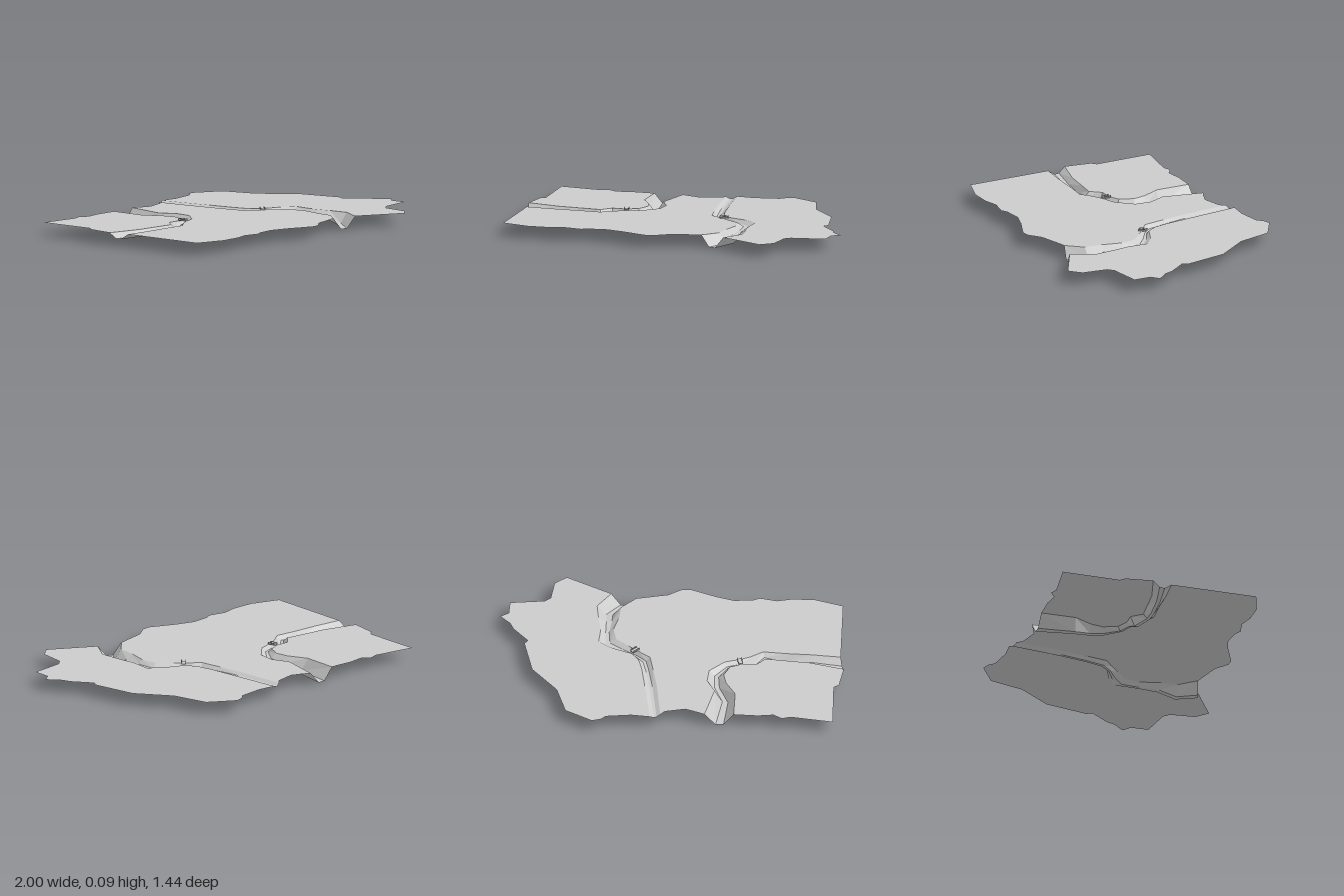
import * as THREE from 'three';

const LEVEL = 0.072; // height of the flat land
const material = new THREE.MeshStandardMaterial({ color: 0xcccccc, flatShading: true, side: THREE.DoubleSide });

// River stations: first bank x, z, second bank x, z, height of the bed
const westRiver = [
  [-1, -0.18, -0.98, -0.06, 0.04], [-0.8, -0.12, -0.81, -0.04, 0.04],
  [-0.65, -0.1, -0.66, -0.03, 0.03], [-0.545, -0.085, -0.53, -0.015, 0.05],
  [-0.49, -0.145, -0.46, -0.065, 0.02], [-0.41, -0.14, -0.395, -0.095, 0.05],
  [-0.34, -0.17, -0.31, -0.12, 0.05], [-0.305, -0.25, -0.22, -0.21, 0.045],
  [-0.32, -0.33, -0.21, -0.31, 0.03], [-0.375, -0.44, -0.255, -0.41, 0.002],
  [-0.37, -0.65, -0.2, -0.65, 0],
];
const eastRiver = [
  [0.055, -0.655, 0.115, -0.68, 0.06], [0.08, -0.37, 0.15, -0.37, 0.058],
  [0.105, -0.2, 0.17, -0.2, 0.054], [0.125, -0.08, 0.19, -0.11, 0.05],
  [0.19, -0.025, 0.23, -0.045, 0.05], [0.25, 0.03, 0.35, 0.01, 0.052],
  [0.325, 0.1, 0.425, 0.07, 0.05], [0.34, 0.2, 0.415, 0.19, 0.05],
  [0.31, 0.32, 0.43, 0.31, 0.044], [0.3, 0.42, 0.44, 0.43, 0.015],
  [0.215, 0.51, 0.36, 0.555, 0.005],
];
const bank = (river, side) => river.map((s) => [s[side * 2], s[side * 2 + 1]]);

function addLand(group, name, outline) {
  const shape = new THREE.Shape(outline.map(([x, z]) => new THREE.Vector2(x, -z)));
  const geometry = new THREE.ShapeGeometry(shape).rotateX(-Math.PI / 2).translate(0, LEVEL, 0);
  const mesh = new THREE.Mesh(geometry, material);
  mesh.name = name;
  group.add(mesh);
}

// Trough: bank, bed, bed, bank at every station
function addRiver(group, name, river) {
  const positions = [], index = [];
  river.forEach(([ax, az, bx, bz, bed], i) => {
    for (const [t, y] of [[0, LEVEL], [0.35, bed], [0.62, bed], [1, LEVEL]])
      positions.push(ax + (bx - ax) * t, y, az + (bz - az) * t);
    if (i === 0) return;
    for (let j = 0; j < 3; j++) {
      const a = (i - 1) * 4 + j, b = a + 4;
      index.push(a, a + 1, b, a + 1, b + 1, b);
    }
  });
  const geometry = new THREE.BufferGeometry();
  geometry.setAttribute('position', new THREE.Float32BufferAttribute(positions, 3));
  geometry.setIndex(index);
  geometry.computeVertexNormals();
  const mesh = new THREE.Mesh(geometry, material);
  mesh.name = name;
  group.add(mesh);
}

// Small footbridge, running along its own x axis
function addBridge(group, name, x, z, angle) {
  const bridge = new THREE.Group();
  bridge.name = name;
  const box = (part, w, h, d, px, py, pz) => {
    const mesh = new THREE.Mesh(new THREE.BoxGeometry(w, h, d), material);
    mesh.name = part;
    mesh.position.set(px, py, pz);
    bridge.add(mesh);
  };
  box('deck', 0.05, 0.004, 0.026, 0, 0.003, 0);
  for (const side of [-1, 1]) {
    box('rail', 0.048, 0.003, 0.003, 0, 0.0125, side * 0.0125);
    for (const px of [-0.021, 0, 0.021]) box('post', 0.004, 0.012, 0.004, px, 0.008, side * 0.0125);
  }
  bridge.position.set(x, LEVEL, z);
  bridge.rotation.y = angle;
  group.add(bridge);
}

export function createModel() {
  const group = new THREE.Group();
  group.name = 'riverLand';

  // Land north-west of the west river
  addLand(group, 'northWestLand', [
    ...bank(westRiver, 0),
    [-0.51, -0.66], [-0.6, -0.65], [-0.65, -0.685], [-0.7, -0.67],
    [-0.945, -0.715], [-0.945, -0.365], [-0.975, -0.34],
  ]);

  // Land between the rivers
  addLand(group, 'middleLand', [
    ...bank(westRiver, 1),
    [-0.16, -0.63], [-0.09, -0.6], [0.03, -0.625],
    ...bank(eastRiver, 0),
    [0.03, 0.55], [-0.05, 0.605], [-0.1, 0.605], [-0.25, 0.535], [-0.35, 0.5], [-0.46, 0.505],
    [-0.5, 0.525], [-0.6, 0.5], [-0.69, 0.52], [-0.82, 0.515], [-0.985, 0.455],
  ]);

  // Land east of the east river
  addLand(group, 'eastLand', [
    ...bank(eastRiver, 1),
    [0.62, 0.715], [0.69, 0.655], [0.71, 0.505], [0.745, 0.475], [0.945, 0.455], [0.95, 0.35],
    [1, 0.315], [0.94, 0.245], [0.92, 0.19], [0.835, 0.075], [0.855, 0.045], [0.805, -0.215],
    [0.66, -0.415], [0.605, -0.625], [0.45, -0.725], [0.4, -0.71], [0.37, -0.68], [0.225, -0.665],
  ]);

  addRiver(group, 'westRiver', westRiver);
  addRiver(group, 'eastRiver', eastRiver);
  addBridge(group, 'westBridge', -0.397, -0.118, -1.4);
  addBridge(group, 'eastBridge', 0.213, -0.015, 0.8);
  return group;
}
